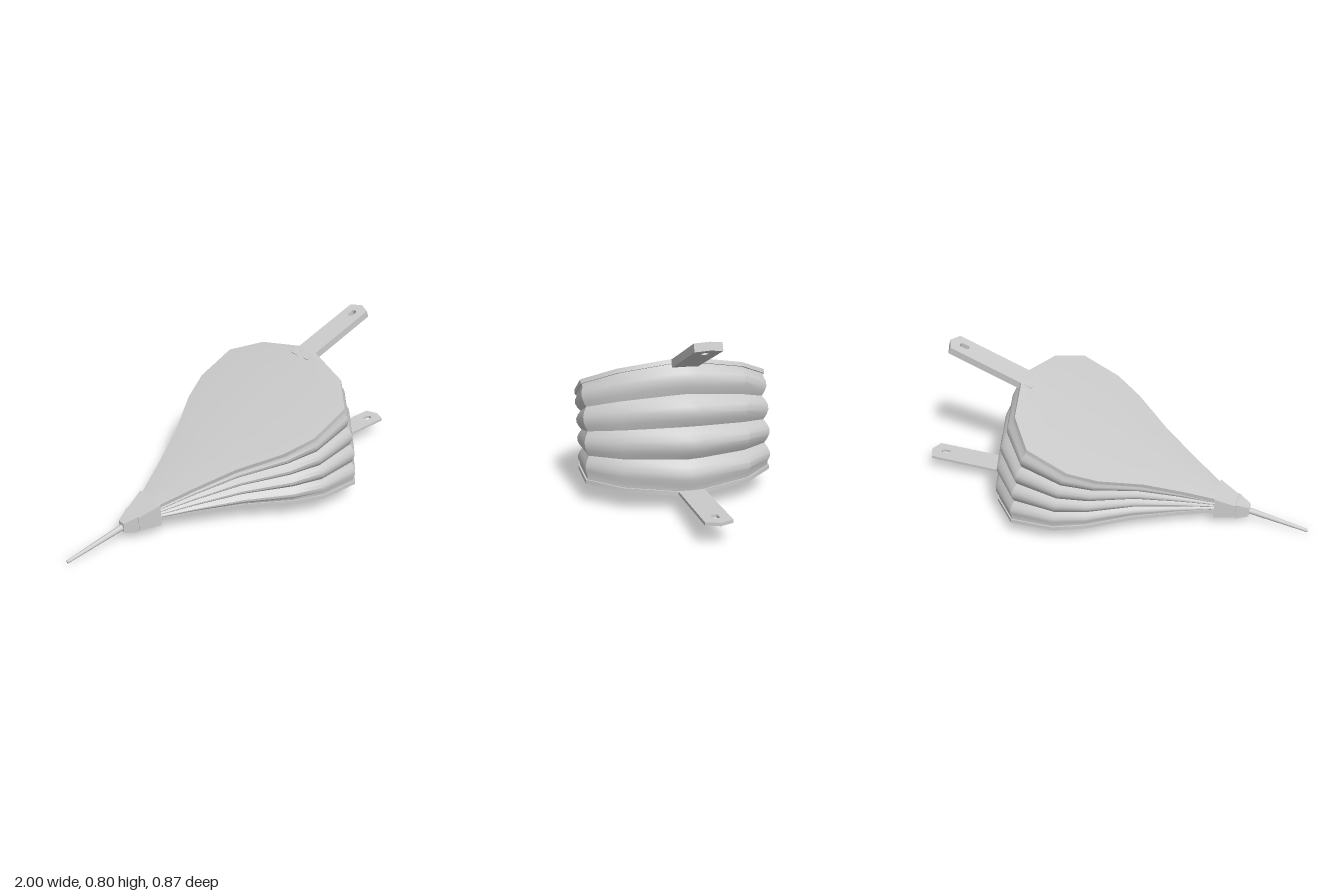
import * as THREE from 'three';
import { toCreasedNormals } from 'three/addons/utils/BufferGeometryUtils.js';

const HINGE = { x: -0.7, y: 0.085 };
const OPEN = THREE.MathUtils.degToRad(26.8);
const BOW = 0.06; // boards bend towards each other at their sides

// Half outline of a board: distance from hinge, half width
const OUTLINE = [
  [0.14, 0.055], [0.33, 0.14], [0.53, 0.24], [0.73, 0.375],
  [0.874, 0.435], [1.085, 0.435], [1.21, 0.29], [1.275, 0.06],
];

const material = (side = THREE.FrontSide, flatShading = false) =>
  new THREE.MeshStandardMaterial({ color: 0xcccccc, side, flatShading });

// Joins rings of equal length into a surface; closed rings get end caps
function loft(rings, closed) {
  const n = rings[0].length, index = [];
  for (let i = 0; i < rings.length - 1; i++) {
    for (let j = 0; j < (closed ? n : n - 1); j++) {
      const k = (j + 1) % n;
      const a = i * n + j, b = i * n + k, c = b + n, d = a + n;
      index.push(a, b, d, b, c, d);
    }
  }
  if (closed) {
    const last = (rings.length - 1) * n;
    for (let j = 1; j < n - 1; j++) {
      index.push(0, j + 1, j, last, last + j, last + j + 1);
    }
  }
  const geometry = new THREE.BufferGeometry();
  geometry.setAttribute('position', new THREE.Float32BufferAttribute(rings.flat(2), 3));
  geometry.setIndex(index);
  return toCreasedNormals(geometry, 0.6);
}

function add(group, name, geometry, mat = material()) {
  const mesh = new THREE.Mesh(geometry, mat);
  mesh.name = name;
  group.add(mesh);
  return mesh;
}

// Point at distance r along a board opened by the given angle, lifted off it by h
function swing(r, h, z, angle) {
  const c = Math.cos(angle), s = Math.sin(angle);
  return [HINGE.x + r * c - h * s, HINGE.y + r * s + h * c, z];
}

// Thin bowed board; dir is 1 for the lower board, -1 for the upper
function boardGeometry(angle, low, high, dir) {
  const rings = OUTLINE.map(([r, w]) => {
    const lift = dir * BOW * w;
    return [
      [high + lift, -w], [high, 0], [high + lift, w],
      [low + lift, w], [low, 0], [low + lift, -w],
    ].map(([h, z]) => swing(r, h, z, angle));
  });
  return loft(rings, true);
}

// Pleated skin: the outline swept from the lower to the upper board
function skinGeometry() {
  const pleats = 4, steps = 5, rings = [];
  const half = OUTLINE.map(([r, w]) => new THREE.Vector2(r, w));
  const path = [...half, new THREE.Vector2(1.28, 0),
    ...half.map((p) => new THREE.Vector2(p.x, -p.y)).reverse()];
  const normals = path.map((p, i) => {
    const a = path[Math.max(i - 1, 0)], b = path[Math.min(i + 1, path.length - 1)];
    return new THREE.Vector2(-(b.y - a.y), b.x - a.x).normalize();
  });
  for (let i = 0; i <= pleats * steps; i++) {
    const t = i / (pleats * steps);
    const wave = Math.sin(Math.PI * (i % steps) / steps);
    const end = i === 0 || i === pleats * steps;
    rings.push(path.map((p, j) => {
      const n = normals[j];
      const back = Math.max(0, -n.x * Math.sign(n.y || 1), Math.abs(p.y) < 0.1 && p.x > 1 ? 1 : 0);
      const fade = Math.min(1, p.x / 0.6);
      const depth = (0.02 + 0.018 * back) * fade;
      const out = end ? -0.008 * fade : depth * (wave - 1) + 0.012 * back;
      // outward direction in the plane of the board
      const dx = p.x > 1.25 ? 1 : n.x, dz = p.x > 1.25 ? 0 : n.y;
      const h = (1 - 2 * t) * BOW * Math.abs(p.y) - t * 0.012;
      return swing(p.x + dx * out, h, p.y + dz * out, OPEN * t);
    }));
  }
  return loft(rings, false);
}

// Flat pointed grip with a hanging slot
function handleGeometry(length, slotX, thickness) {
  const w = 0.06;
  const shape = new THREE.Shape([
    [0, -w], [length - 0.025, -w], [length, 0], [length - 0.025, w], [0, w],
  ].map(([x, y]) => new THREE.Vector2(x, y)));
  shape.holes.push(new THREE.Path([
    [-0.023, -0.008], [-0.023, 0.008], [-0.016, 0.015], [0.016, 0.015],
    [0.023, 0.008], [0.023, -0.008], [0.016, -0.015], [-0.016, -0.015],
  ].map(([x, y]) => new THREE.Vector2(slotX + x, y))));
  return new THREE.ExtrudeGeometry(shape, { depth: thickness, bevelEnabled: false })
    .rotateX(-Math.PI / 2);
}

// Tapered block from rectangular sections [x, low, high, half width]
function blockGeometry(sections) {
  return loft(sections.map(([x, low, high, w]) => [
    [x, high, -w], [x, high, w], [x, low, w], [x, low, -w],
  ]), true);
}

export function createModel() {
  const model = new THREE.Group();
  model.name = 'bellows';

  // Boards and pleated skin
  add(model, 'lowerBoard', boardGeometry(0, -0.016, 0.004, 1));
  add(model, 'upperBoard', boardGeometry(OPEN, -0.018, 0.002, -1));
  add(model, 'pleatedSkin', skinGeometry(), material(THREE.DoubleSide));

  // Handles
  const upper = add(model, 'upperHandle', handleGeometry(0.46, 0.385, 0.036));
  upper.position.set(0.4, 0.603, -0.005);
  upper.rotation.z = THREE.MathUtils.degToRad(21.5);
  const lower = add(model, 'lowerHandle', handleGeometry(0.45, 0.37, 0.014));
  lower.position.set(0.55, 0.078, -0.005);
  lower.rotation.z = THREE.MathUtils.degToRad(2.2);

  // Collar, nozzle socket and nozzle
  add(model, 'collar', blockGeometry([
    [-0.64, 0.052, 0.124, 0.05], [-0.54, 0.058, 0.168, 0.085],
  ]));
  add(model, 'nozzleSocket', blockGeometry([
    [-0.705, 0.054, 0.1, 0.02], [-0.695, 0.048, 0.106, 0.025], [-0.642, 0.045, 0.13, 0.05],
  ]));
  const start = new THREE.Vector3(-0.68, 0.077, 0), tip = new THREE.Vector3(-0.998, 0.01, 0);
  const axis = tip.clone().sub(start);
  const nozzle = add(model, 'nozzle', new THREE.CylinderGeometry(0.008, 0.016, axis.length(), 12));
  nozzle.position.copy(start).add(tip).multiplyScalar(0.5);
  nozzle.quaternion.setFromUnitVectors(new THREE.Vector3(0, 1, 0), axis.normalize());

  return model;
}
